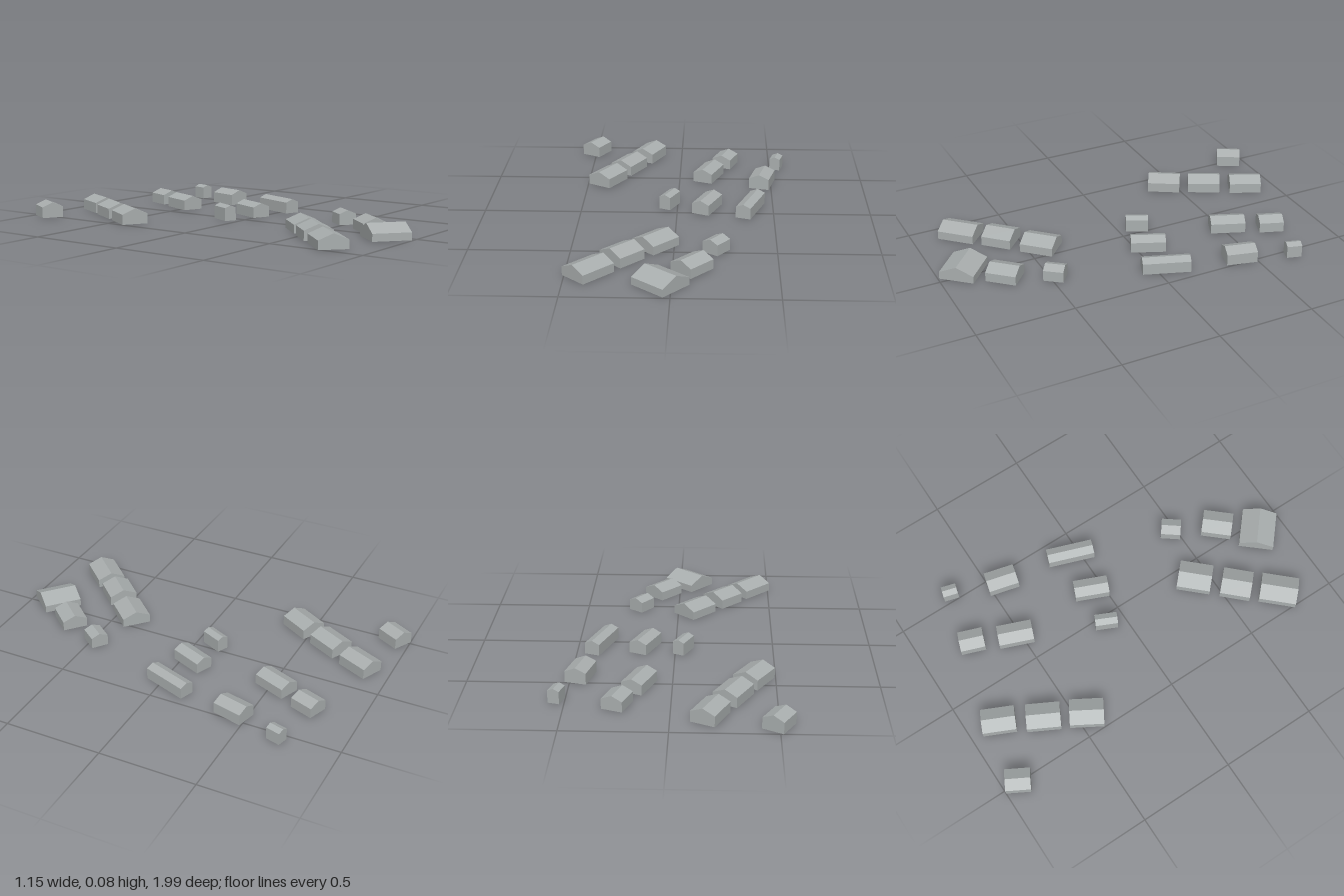
import * as THREE from 'three';

// x, z, width, ridge length, turn in degrees, ridge height
const HOUSES = [
  // back left row
  [-0.497, -0.918, 0.110, 0.127, 29, 0.08],
  [-0.185, -0.839, 0.125, 0.171, 25, 0.08],
  [-0.291, -0.640, 0.131, 0.173, 28, 0.08],
  [-0.394, -0.447, 0.135, 0.173, 30.5, 0.08],
  // back right cluster
  [0.251, -0.733, 0.107, 0.127, 20, 0.075],
  [0.540, -0.690, 0.058, 0.077, 15.5, 0.075],
  [0.159, -0.526, 0.108, 0.180, 21.5, 0.075],
  [0.452, -0.429, 0.109, 0.158, 14, 0.08],
  // middle row
  [-0.041, -0.098, 0.062, 0.116, 25, 0.08],
  [0.155, -0.063, 0.095, 0.178, 23, 0.075],
  [0.381, -0.048, 0.079, 0.243, 19.5, 0.075],
  // front cluster
  [-0.091, 0.426, 0.148, 0.174, 43, 0.075],
  [-0.243, 0.585, 0.146, 0.157, 43.5, 0.08],
  [-0.390, 0.751, 0.147, 0.193, 43, 0.075],
  [0.205, 0.474, 0.089, 0.102, 37, 0.075],
  [0.092, 0.695, 0.129, 0.157, 41.5, 0.075],
  [-0.049, 0.860, 0.180, 0.197, 131, 0.076],
];
const ROOF_SLOPE = 0.42;

// Gabled block: pentagon profile extruded along the ridge
function houseGeometry(width, length, ridge) {
  const h = width / 2;
  const eave = ridge - h * ROOF_SLOPE;
  const profile = new THREE.Shape([
    new THREE.Vector2(-h, 0),
    new THREE.Vector2(h, 0),
    new THREE.Vector2(h, eave),
    new THREE.Vector2(0, ridge),
    new THREE.Vector2(-h, eave),
  ]);
  const geometry = new THREE.ExtrudeGeometry(profile, { depth: length, bevelEnabled: false });
  return geometry.translate(0, 0, -length / 2);
}

export function createModel() {
  const model = new THREE.Group();
  model.name = 'village';
  const plaster = new THREE.MeshStandardMaterial({ color: 0xa9aeae });
  plaster.name = 'pale grey';

  HOUSES.forEach(([x, z, width, length, turn, ridge], i) => {
    const house = new THREE.Mesh(houseGeometry(width, length, ridge), plaster);
    house.name = `house${i + 1}`;
    house.position.set(x, 0, z);
    house.rotation.y = -THREE.MathUtils.degToRad(turn);
    model.add(house);
  });
  return model;
}
